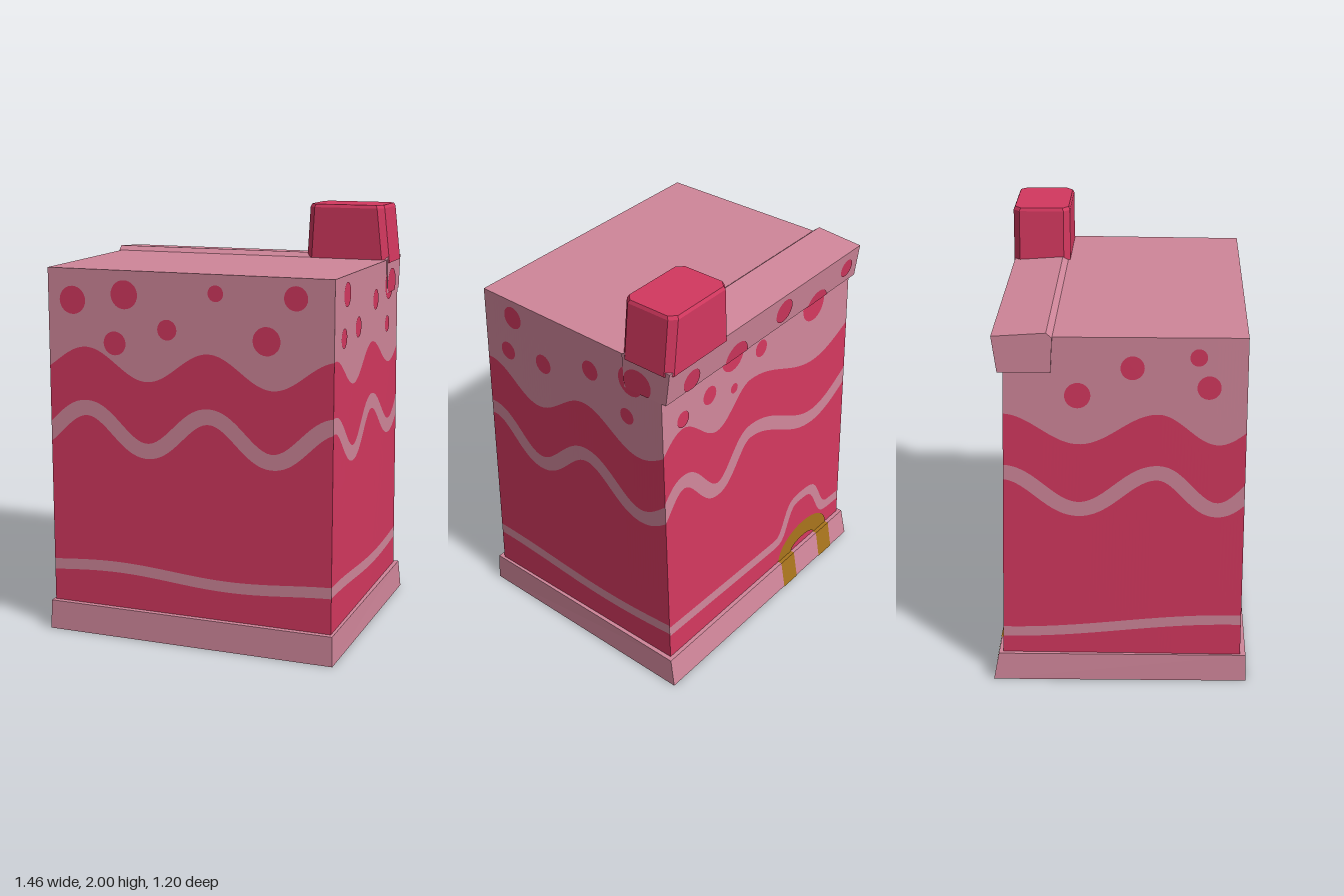
import * as THREE from 'three';

const paint = (name, color) => new THREE.MeshStandardMaterial({ name, color, flatShading: true, side: THREE.DoubleSide });
const mix = THREE.MathUtils.lerp;

function makeMesh(name, points, index, material) {
  const g = new THREE.BufferGeometry();
  g.setAttribute('position', new THREE.Float32BufferAttribute(points.flat(), 3));
  g.setIndex(index);
  g.computeVertexNormals();
  const m = new THREE.Mesh(g, material);
  m.name = name;
  return m;
}

// Skin between closed rings of points, with optional end caps
function loft(name, rings, material, capped) {
  const n = rings[0].length, index = [], last = (rings.length - 1) * n;
  for (let a = 0; a < last; a++) {
    const b = a % n === n - 1 ? a + 1 - n : a + 1;
    index.push(a, b, b + n, a, b + n, a + n);
  }
  for (let i = 1; capped && i < n - 1; i++) index.push(0, i + 1, i, last, last + i, last + i + 1);
  return makeMesh(name, rings.flat(), index, material);
}

// Strip of quads between paired lower and upper points
function strip(name, count, pair, material) {
  const pts = [], index = [];
  for (let i = 0; i <= count; i++) {
    pts.push(...pair(i / count));
    const a = 2 * i;
    if (i < count) index.push(a, a + 2, a + 3, a, a + 3, a + 1);
  }
  return makeMesh(name, pts, index, material);
}

// Four corners at one height: front left, front right, back right, back left
const corners = (y, cx, halfFront, halfBack, front, back) => [
  [cx - halfFront, y, front], [cx + halfFront, y, front], [cx + halfBack, y, back], [cx - halfBack, y, back]];

// Four-cornered panel facing side i; at() maps (position along it, height) to a point
function panel(i, bl, br, tr, tl) {
  const axis = i % 2 ? 2 : 0, c = [bl[axis], br[axis]], y = [bl[1], tl[1]];
  const normal = [Math.sin(i * Math.PI / 2), 0, Math.cos(i * Math.PI / 2)];
  const at = (cc, h, lift = 0) => {
    const u = (cc - c[0]) / (c[1] - c[0]), v = (h - y[0]) / (y[1] - y[0]);
    return bl.map((_, k) => mix(mix(bl[k], br[k], u), mix(tl[k], tr[k], u), v) + normal[k] * lift);
  };
  return { c, y, at };
}

// Painted disc, cut off at the panel's lower and upper edges
function dot(p, [c, y, r], material) {
  const N = 28, s = Math.sign(p.c[1] - p.c[0]), index = [];
  const pts = [p.at(c, Math.max(y, p.y[0]), 0.003)];
  for (let i = 0; i < N; i++) {
    const a = i / N * Math.PI * 2;
    const h = THREE.MathUtils.clamp(y + r * Math.sin(a), ...p.y);
    pts.push(p.at(c + s * r * Math.cos(a), h, 0.003));
    index.push(0, 1 + i, 1 + (i + 1) % N);
  }
  return makeMesh('dot', pts, index, material);
}

export function createModel() {
  const pink = paint('pink icing', 0xd0869a);
  const red = paint('raspberry red', 0xd3385f);
  const gold = paint('gold', 0xa8741c);
  const model = new THREE.Group();

  // Open skirt with a ledge, and the roof
  const low = corners(0.14, -0.005, 0.69, 0.7, 0.565, -0.55);
  const high = corners(1.74, -0.012, 0.688, 0.703, 0.55, -0.495);
  const skirtBottom = corners(0, -0.003, 0.706, 0.728, 0.597, -0.597);
  const skirtTop = corners(0.14, -0.003, 0.701, 0.72, 0.591, -0.57);
  model.add(loft('skirt', [skirtBottom, skirtTop, low], pink));
  model.add(makeMesh('roof', high, [0, 1, 2, 0, 2, 3], pink));

  // Painted wall: the icing edge and wavy stripe share one crest and the half waves either side of it
  function addWall(name, i, crest, halfBefore, halfAfter, base, dots) {
    const j = (i + 1) % 4, wall = new THREE.Group();
    const p = panel(i, low[i], low[j], high[j], high[i]);
    const ripple = c => Math.cos(Math.PI * (c - crest) / (c < crest ? halfBefore : halfAfter));
    const icing = c => 1.308 + 0.073 * ripple(c);
    const wavy = c => 1.003 + 0.092 * ripple(c);
    // Edge of a stripe, widened on slopes so its true width stays even
    const edge = (f, half) => c => f(c) + half * Math.hypot(1, (f(c + 0.01) - f(c - 0.01)) / 0.02);
    const levels = [() => 0.14, edge(base, -0.026), edge(base, 0.026), edge(wavy, -0.036), edge(wavy, 0.036), icing, () => 1.74];
    ['lowerPanel', 'baseStripe', 'middlePanel', 'wavyStripe', 'upperPanel', 'icing'].forEach((part, k) => {
      const pair = t => {
        const c = mix(...p.c, t);
        return [p.at(c, levels[k](c)), p.at(c, levels[k + 1](c))];
      };
      wall.add(strip(part, 72, pair, k % 2 ? pink : red));
    });
    dots.forEach(d => wall.add(dot(p, d, red)));
    wall.name = name;
    model.add(wall);
    return p;
  }

  const frontDots = [[-0.57, 1.595, 0.065], [-0.31, 1.63, 0.066], [-0.36, 1.405, 0.055], [-0.1, 1.48, 0.047],
    [0.135, 1.655, 0.037], [0.51, 1.65, 0.055], [0.375, 1.455, 0.065]];
  const leftDots = [[0.375, 1.655, 0.055], [0.42, 1.465, 0.045], [0.185, 1.485, 0.048],
    [-0.12, 1.575, 0.048], [-0.37, 1.62, 0.073], [-0.34, 1.43, 0.04]];
  const backDots = [[0.56, 1.43, 0.04], [0.53, 1.63, 0.055], [0.375, 1.455, 0.045], [0.21, 1.58, 0.08],
    [0.2, 1.4, 0.025], [0, 1.51, 0.042], [-0.13, 1.66, 0.06], [-0.41, 1.55, 0.085], [-0.63, 1.66, 0.045]];
  const rightDots = [[-0.21, 1.47, 0.06], [0.04, 1.6, 0.055], [0.34, 1.65, 0.04], [0.39, 1.51, 0.055]];

  addWall('frontWall', 0, 0.098, 0.303, 0.305, c => 0.32 - 0.016 * Math.cos((c - 0.2) * 5.5), frontDots);
  addWall('leftWall', 1, -0.065, 0.335, 0.305, c => 0.313 - 0.022 * Math.cos((c + 0.2) * 4), leftDots);
  // The back stripe arches over the gold doorway
  const back = addWall('backWall', 2, 0.075, 0.51, 0.245,
    c => 0.275 + 0.03 * c + 0.19 * Math.exp(-(((c + 0.37) / 0.15) ** 4)), backDots);
  addWall('rightWall', 3, 0.16, 0.36, 0.28, c => 0.292 + 0.038 * Math.sin(c * 3), rightDots);

  // Icing bar along the back of the roof; the dots run on over it
  const x0 = -0.724, x1 = 0.692;
  const section = [[1.58, -0.295], [1.58, -0.525], [1.745, -0.545], [1.762, -0.31], [1.74, -0.285]];
  const [left, right] = [x0, x1].map(x => section.map(([y, z]) => [x, y, z]));
  model.add(loft('roofBar', [left, right], pink, true));
  const barFaces = [[panel(2, right[1], left[1], left[2], right[2]), backDots],
    [panel(1, right[0], right[1], right[2], right[4]), leftDots]];
  for (const [p, dots] of barFaces) {
    dots.filter(([c, y, r]) => y + r > p.y[0] && c < p.c[0] && c > p.c[1])
      .forEach(d => model.add(dot(p, d, red)));
  }

  // Chimney with chamfered corners
  const ring = (y, xa, xb, za, zb, k = 0.03) => [
    [xa + k, y, zb], [xb - k, y, zb], [xb, y, zb - k], [xb, y, za + k],
    [xb - k, y, za], [xa + k, y, za], [xa, y, za + k], [xa, y, zb - k]];
  model.add(loft('chimney', [ring(1.725, 0.283, 0.697, -0.549, -0.276),
    ring(1.985, 0.297, 0.668, -0.547, -0.274), ring(2, 0.303, 0.661, -0.54, -0.281)], red, true));

  // Gold arch: legs over the skirt and its ledge, curved top on the back wall
  const arch = new THREE.Group(), cx = -0.38, inner = 0.1, outer = 0.21;
  arch.name = 'arch';
  const steps = [[0, -0.6], [0.143, -0.573], [0.143, -0.55]];
  for (const [a, b] of [[-outer, -inner], [inner, outer]]) {
    const pair = t => [a, b].map(r => [cx + r, ...steps[Math.round(t * 2)]]);
    arch.add(strip('archLeg', 2, pair, gold));
  }
  arch.add(strip('archTop', 24, t => {
    const x = Math.cos(t * Math.PI), y = Math.sin(t * Math.PI);
    return [back.at(cx + inner * x, 0.142 + 0.04 * y, 0.004), back.at(cx + outer * x, 0.142 + 0.135 * y, 0.004)];
  }, gold));
  model.add(arch);

  return model;
}
